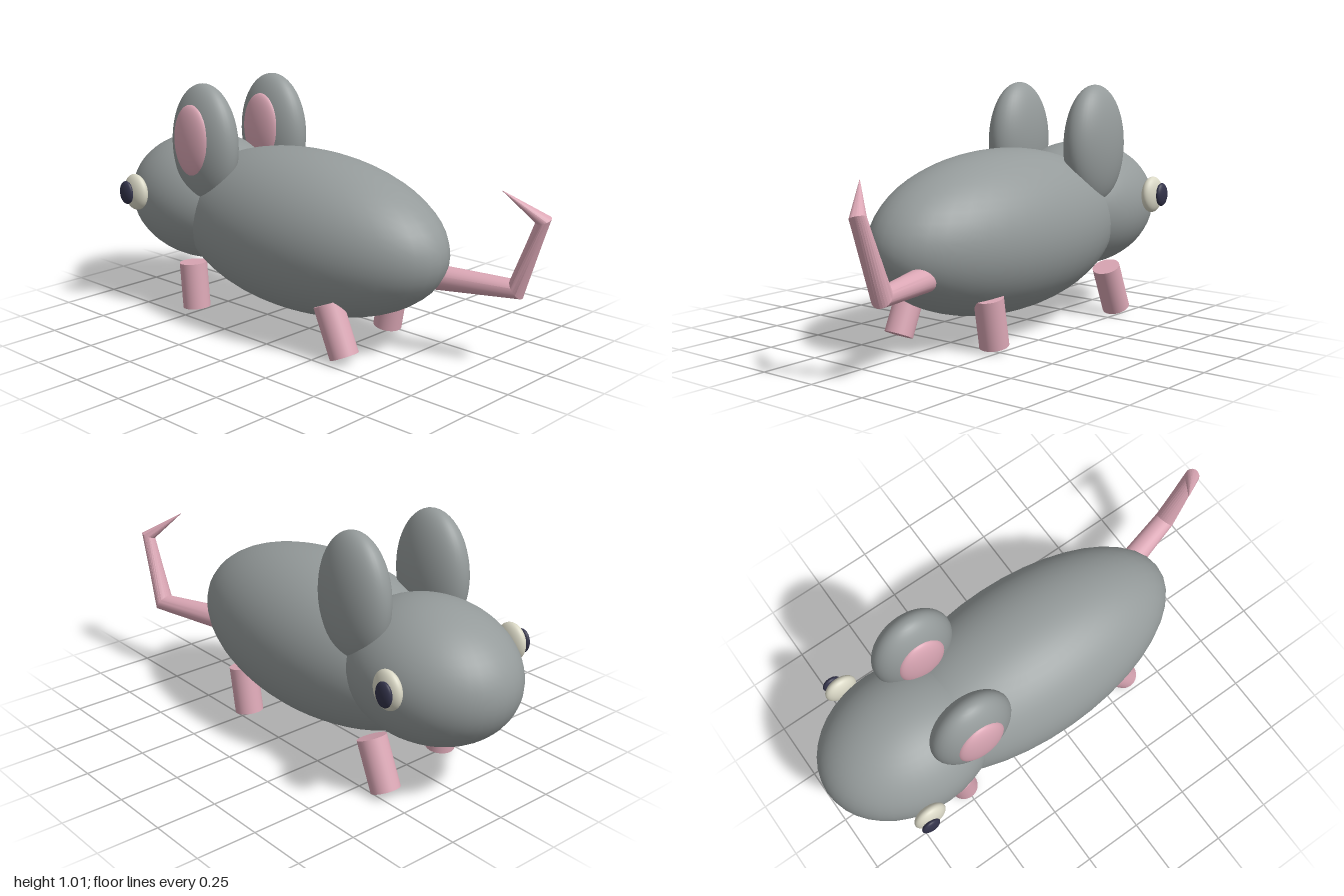
import * as THREE from 'three';
import { toCreasedNormals } from 'three/addons/utils/BufferGeometryUtils.js';

const material = (name, color) => {
  const m = new THREE.MeshStandardMaterial({ color });
  m.name = name;
  return m;
};

export function createModel() {
  const grey = material('grey fur', 0x959b9b);
  const pink = material('pink skin', 0xdba7b5);
  const cream = material('cream eye', 0xdad8c6);
  const dark = material('dark pupil', 0x33334a);
  const model = new THREE.Group();
  model.name = 'mouse';

  const add = (name, geometry, mat, parent = model) => {
    const mesh = new THREE.Mesh(geometry, mat);
    mesh.name = name;
    parent.add(mesh);
    return mesh;
  };
  const sphere = new THREE.SphereGeometry(1, 40, 28);
  const ellipsoid = (name, mat, centre, radii) => {
    const mesh = add(name, sphere, mat);
    mesh.position.set(...centre);
    mesh.scale.set(...radii);
  };

  // Body and head, with the nose towards -x
  ellipsoid('body', grey, [-0.03, 0.425, -0.022], [0.69, 0.335, 0.335]);
  ellipsoid('head', grey, [-0.62, 0.475, -0.008], [0.38, 0.275, 0.303]);

  // Ears: both inner ears face +z
  for (const [side, z] of [['near', 0.18], ['far', -0.218]]) {
    ellipsoid(side + 'Ear', grey, [-0.425, 0.757, z], [0.175, 0.253, 0.097]);
    ellipsoid(side + 'InnerEar', pink, [-0.427, 0.777, z + 0.07], [0.103, 0.153, 0.038]);
  }

  // Eyes, mirrored about the head's middle
  for (const [side, s] of [['near', 1], ['far', -1]]) {
    const z = (d) => -0.004 + s * d;
    ellipsoid(side + 'Eye', cream, [-0.725, 0.525, z(0.32)], [0.069, 0.078, 0.034]);
    ellipsoid(side + 'Pupil', dark, [-0.744, 0.525, z(0.356)], [0.04, 0.05, 0.018]);
  }

  // Legs: top and bottom centres, leaning fore and aft only
  const legs = [
    ['nearFrontLeg', -0.52, 0.225, -0.503, 0.028, 0.18],
    ['farFrontLeg', -0.53, 0.22, -0.613, 0.028, -0.217],
    ['nearRearLeg', 0.272, 0.225, 0.36, 0.029, 0.18],
    ['farRearLeg', 0.278, 0.22, 0.243, 0.025, -0.217],
  ];
  for (const [name, x1, y1, x0, y0, z] of legs) {
    const dx = x1 - x0, dy = y1 - y0;
    const leg = add(name, new THREE.CylinderGeometry(0.059, 0.059, Math.hypot(dx, dy), 32), pink);
    leg.position.set((x0 + x1) / 2, (y0 + y1) / 2, z);
    leg.rotation.z = -Math.atan2(dx, dy);
  }

  // Tail: a kinked tube narrowing to a point
  const path = [[0.5, 0.325, -0.115], [0.868, 0.325, -0.222], [0.975, 0.615, -0.218], [0.86, 0.725, -0.115]]
    .map((p) => new THREE.Vector3(...p));
  add('tail', taperedTube(path, [0.053, 0.043, 0.031, 0.001]), pink);

  return model;
}

// Rings set square to the averaged direction at each bend
function taperedTube(path, radii, sides = 24) {
  const positions = [], index = [];
  const direction = (a, b) => b.clone().sub(a).normalize();
  path.forEach((p, i) => {
    const tangent = new THREE.Vector3();
    if (i > 0) tangent.add(direction(path[i - 1], p));
    if (i < path.length - 1) tangent.add(direction(p, path[i + 1]));
    tangent.normalize();
    // Reference axis roughly across the plane of the bends
    const u = new THREE.Vector3(0.35, 0.2, 1).cross(tangent).normalize();
    const v = tangent.clone().cross(u);
    for (let j = 0; j < sides; j++) {
      const a = (j / sides) * Math.PI * 2;
      const q = p.clone().addScaledVector(u, Math.cos(a) * radii[i]).addScaledVector(v, Math.sin(a) * radii[i]);
      positions.push(q.x, q.y, q.z);
      if (i === path.length - 1) continue;
      const k = (j + 1) % sides, lo = i * sides, hi = lo + sides;
      index.push(lo + j, lo + k, hi + k, lo + j, hi + k, hi + j);
    }
  });
  const geometry = new THREE.BufferGeometry();
  geometry.setAttribute('position', new THREE.Float32BufferAttribute(positions, 3));
  geometry.setIndex(index);
  return toCreasedNormals(geometry, 0.5);
}
